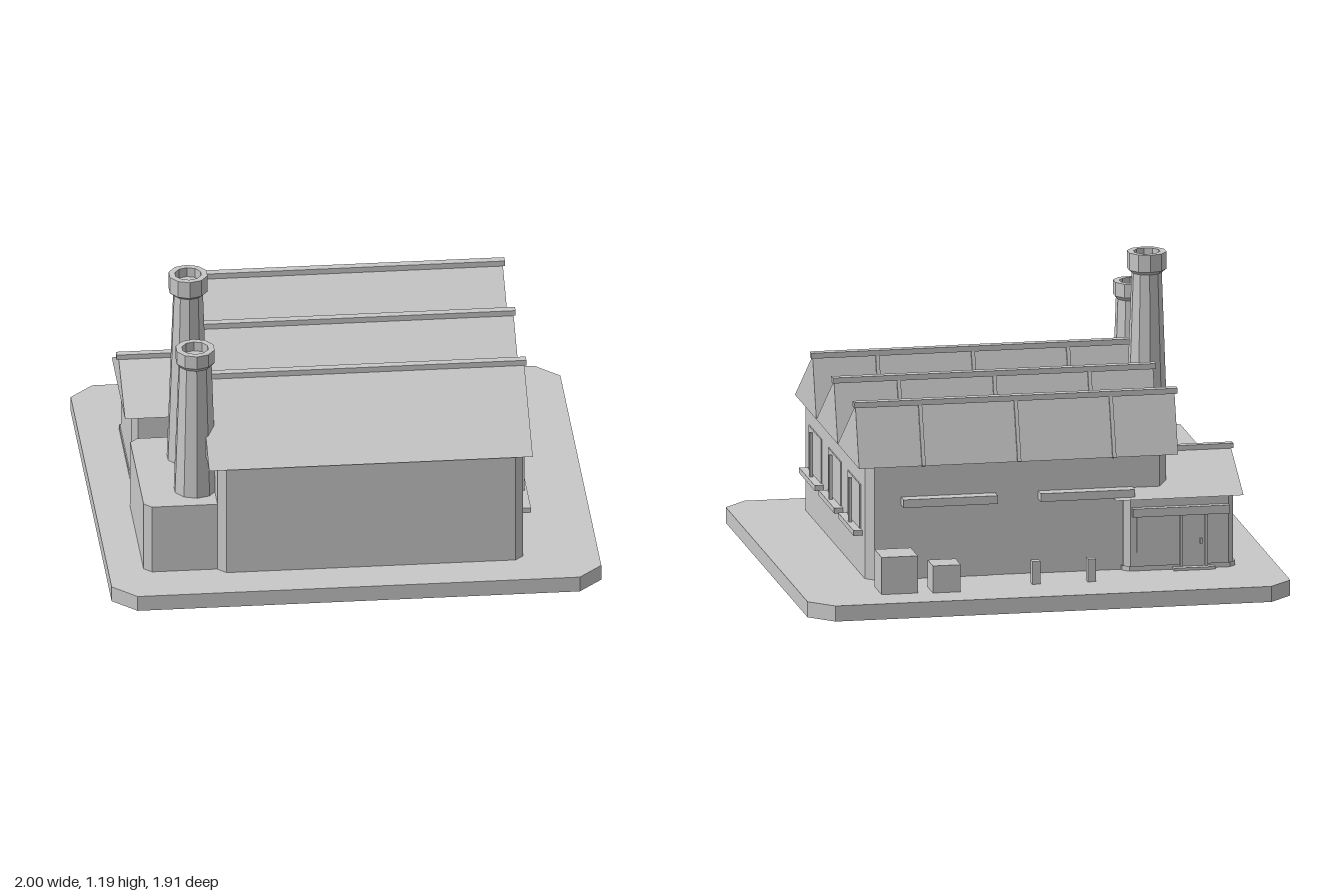
import * as THREE from 'three';

// Double-sided because the slab and the walls are open shells
const concrete = new THREE.MeshStandardMaterial({ color: 0xc8c8c8, flatShading: true, side: THREE.DoubleSide });
concrete.name = 'concrete grey';

export function createModel() {
  const model = new THREE.Group();
  model.name = 'factory';

  const add = (name, geometry) => {
    const mesh = new THREE.Mesh(geometry, concrete);
    mesh.name = name;
    model.add(mesh);
    return mesh;
  };

  // Plain box given by its extents
  const box = (name, x0, x1, y0, y1, z0, z1) => {
    const mesh = add(name, new THREE.BoxGeometry(x1 - x0, y1 - y0, z1 - z0));
    mesh.position.set((x0 + x1) / 2, (y0 + y1) / 2, (z0 + z1) / 2);
  };

  // Rectangular plan with corners chamfered by c
  const plan = (x0, x1, z0, z1, c) => [
    [x0 + c, z1], [x1 - c, z1], [x1, z1 - c], [x1, z0 + c],
    [x1 - c, z0], [x0 + c, z0], [x0, z0 + c], [x0, z1 - c],
  ];

  // Upright walls around a plan, open above and below
  const walls = (name, outline, y0, y1) => {
    const positions = outline.flatMap(([ax, az], i) => {
      const [bx, bz] = outline[(i + 1) % outline.length];
      return [ax, y0, az, bx, y0, bz, bx, y1, bz, ax, y0, az, bx, y1, bz, ax, y1, az];
    });
    const geometry = new THREE.BufferGeometry();
    geometry.setAttribute('position', new THREE.Float32BufferAttribute(positions, 3));
    geometry.computeVertexNormals();
    add(name, geometry);
  };

  // Flat lid over a plan
  const lid = (name, outline, y) => {
    const shape = new THREE.Shape(outline.map(([x, z]) => new THREE.Vector2(x, -z)));
    add(name, new THREE.ShapeGeometry(shape).rotateX(-Math.PI / 2).translate(0, y, 0));
  };

  // Triangular roof running along x, from a list of [z, y] corners
  const prism = (name, x0, x1, corners) => {
    const shape = new THREE.Shape(corners.map(([z, y]) => new THREE.Vector2(-z, y)));
    const geometry = new THREE.ExtrudeGeometry(shape, { depth: x1 - x0, bevelEnabled: false });
    add(name, geometry.rotateY(Math.PI / 2).translate(x0, 0, 0));
  };

  // Ground slab, hollow underneath, and the main hall
  const ground = 0.065;
  const slab = plan(-1, 1, -0.955, 0.955, 0.097);
  walls('slabRim', slab, 0, ground);
  lid('slabTop', slab, ground);
  walls('hallWalls', plan(-0.556, 0.692, -0.533, 0.776, 0.034), ground, 0.54);

  // Saw-tooth roof with ridge caps and glazing bars
  const rise = 0.245, run = 0.08;
  for (const front of [0.789, 0.34, -0.109]) {
    const peak = front - 0.369;
    prism('sawtoothRoof', -0.595, 0.727, [[front, 0.538], [peak - run, 0.538], [peak, 0.785]]);
    box('ridgeCap', -0.605, 0.735, 0.777, 0.8, peak - 0.017, peak + 0.017);
    for (const x of [-0.33, 0.064, 0.46]) {
      const bar = add('glazingBar', new THREE.BoxGeometry(0.015, Math.hypot(rise, run), 0.02));
      bar.position.set(x, 0.66, peak - run / 2);
      bar.rotation.x = Math.atan2(run, rise);
    }
  }

  // Side windows: pane, sill and centre bar
  for (const z of [0.527, 0.119, -0.289]) {
    box('sidePane', 0.689, 0.697, 0.25, 0.44, z - 0.13, z + 0.13);
    box('sideSill', 0.69, 0.729, 0.234, 0.256, z - 0.164, z + 0.164);
    box('sideBar', 0.705, 0.718, 0.25, 0.44, z - 0.008, z + 0.008);
  }

  // Loading doors on the back wall, each under a canopy
  for (const x of [-0.215, 0.353]) {
    box('loadingDoor', x - 0.18, x + 0.18, 0.05, 0.375, -0.538, -0.53);
    box('doorCanopy', x - 0.195, x + 0.195, 0.373, 0.407, -0.587, -0.53);
  }

  // Chimney house and two ten-sided stacks
  const house = plan(-0.855, -0.5, 0.118, 0.74, 0.032);
  walls('chimneyHouseWalls', house, ground, 0.36);
  lid('chimneyHouseTop', house, 0.36);
  for (const [z, top, neck, band] of [[0.296, 1.19, 0.062, 0.072], [0.59, 1.0, 0.069, 0.057]]) {
    const profile = [
      [0.089, 0.355], [neck, top - band - 0.015], [0.081, top - band],
      [0.081, top], [0.055, top], [0.055, top - 0.04], [0, top - 0.04],
    ].map(([r, y]) => new THREE.Vector2(r, y));
    add('chimney', new THREE.LatheGeometry(profile, 10)).position.set(-0.633, 0, z);
  }

  // Office annex with a plinth and pitched roof
  walls('annexWalls', plan(-0.825, -0.37, -0.572, -0.085, 0.025), ground, 0.375);
  walls('annexPlinth', plan(-0.832, -0.363, -0.579, -0.078, 0.027), 0.03, 0.085);
  prism('annexRoof', -0.857, -0.326, [[-0.046, 0.367], [-0.603, 0.367], [-0.328, 0.51]]);
  box('annexRidgeCap', -0.866, -0.55, 0.503, 0.524, -0.343, -0.313);

  // Annex entrance and window
  box('doorStep', -0.74, -0.567, 0.035, 0.076, -0.609, -0.565);
  box('door', -0.7, -0.61, 0.076, 0.293, -0.579, -0.57);
  for (const x of [-0.712, -0.61]) box('doorPost', x, x + 0.012, 0.076, 0.3, -0.587, -0.57);
  box('doorHandle', -0.69, -0.68, 0.17, 0.19, -0.591, -0.575);
  box('entranceLintel', -0.8, -0.4, 0.293, 0.328, -0.6, -0.568);
  box('annexPane', -0.57, -0.42, 0.14, 0.293, -0.577, -0.57);

  // Yard: crates and bollards
  box('largeCrate', 0.53, 0.68, ground, 0.22, -0.793, -0.644);
  box('smallCrate', 0.355, 0.47, ground, 0.178, -0.805, -0.694);
  for (const x of [-0.203, 0.027]) box('bollard', x - 0.017, x + 0.017, ground, 0.16, -0.733, -0.697);

  return model;
}
